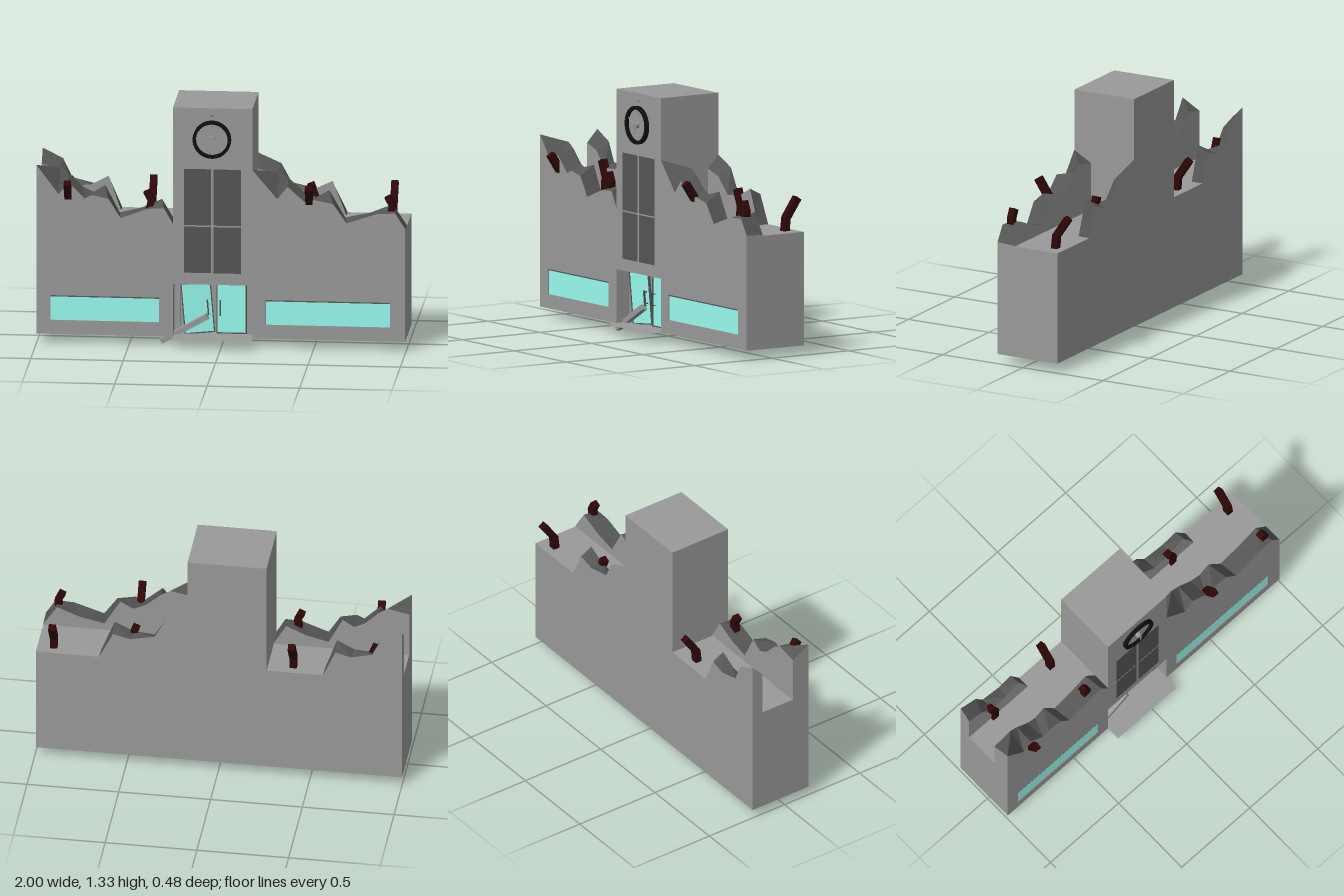
import * as THREE from 'three';

const mat = (color) => new THREE.MeshStandardMaterial({ color, flatShading: true });

export function createModel() {
  const root = new THREE.Group();
  const grey = mat(0x999999), dark = mat(0x555555), black = mat(0x101010);
  const glass = mat(0x98fdf0), rust = mat(0x300707), slate = mat(0x5a5a5a);
  const thin = mat(0x999999), rubble = mat(0x555555);
  thin.side = rubble.side = THREE.DoubleSide;

  const add = (name, geo, material, parent = root) => {
    const m = new THREE.Mesh(geo, material);
    m.name = name;
    parent.add(m);
    return m;
  };
  // Box given by its minimum and maximum on each axis
  const box = (name, x0, x1, y0, y1, z0, z1, material = grey, parent = root) => {
    const m = add(name, new THREE.BoxGeometry(x1 - x0, y1 - y0, z1 - z0), material, parent);
    m.position.set((x0 + x1) / 2, (y0 + y1) / 2, (z0 + z1) / 2);
    return m;
  };
  const poly = (pts) => new THREE.Shape(pts.map((p) => new THREE.Vector2(...p)));
  const rect = (x0, x1, y0, y1) => poly([[x0, y0], [x1, y0], [x1, y1], [x0, y1]]);
  const extrude = (shape, depth) =>
    new THREE.ExtrudeGeometry(shape, { depth, bevelEnabled: false, curveSegments: 24 });

  const L = -1, R = 0.995, BASE = 0.052, ROOF = 0.67, FRONT = 0.16, BACK = -0.212;
  const TL = -0.262, TR = 0.168, RECESS = 0.05, DOOR_TOP = 0.345;

  // Main block, with a front slab cut for the windows and the entrance
  box('mainBlock', L, R, BASE, ROOF, BACK, RECESS);
  const facade = poly([[L, BASE], [TL, BASE], [TL, DOOR_TOP], [TR, DOOR_TOP], [TR, BASE],
    [R, BASE], [R, ROOF], [L, ROOF]]);
  const windows = [[-0.925, -0.337], [0.24, 0.912]];
  const [sill, head] = [0.122, 0.267];
  windows.forEach(([a, b]) => facade.holes.push(rect(a, b, sill, head)));
  add('facade', extrude(facade, FRONT - RECESS), grey).position.z = RECESS;
  windows.forEach(([a, b]) => {
    box('windowGlass', a, b, sill, head, 0.12, 0.154, glass);
    box('windowSill', a, b, sill, sill + 0.007, 0.14, 0.159);
    box('windowHead', a, b, head - 0.007, head, 0.14, 0.159, slate);
  });

  // Tower with a tall dark window and its bars
  box('tower', TL, TR, ROOF, 1.328, BACK, FRONT);
  box('towerWindow', -0.202, 0.107, 0.41, 0.988, FRONT - 0.01, FRONT + 0.001, dark);
  box('towerWindowBar', -0.056, -0.042, 0.41, 0.988, FRONT - 0.01, FRONT + 0.002);
  box('towerWindowCrossBar', -0.215, 0.115, 0.667, 0.675, FRONT - 0.01, FRONT + 0.002);

  // Clock
  const clock = new THREE.Group();
  clock.name = 'clock';
  clock.position.set(-0.05, 1.156, FRONT);
  root.add(clock);
  const rim = new THREE.Shape().absarc(0, 0, 0.104, 0, Math.PI * 2);
  rim.holes.push(new THREE.Path().absarc(0, 0, 0.086, 0, Math.PI * 2, true));
  add('clockRim', extrude(rim, 0.02), black, clock);
  add('clockFace', new THREE.CircleGeometry(0.09, 40), grey, clock).position.z = 0.004;
  const hub = add('clockHub', new THREE.CylinderGeometry(0.017, 0.017, 0.022, 20), grey, clock);
  hub.rotation.x = Math.PI / 2;
  hub.position.z = 0.014;
  [[0.07, 1.0], [0.048, Math.PI]].forEach(([len, angle], i) => {
    const hand = add('clockHand', extrude(poly([[-0.006, 0], [0.006, 0], [0.002, len], [-0.002, len]]), 0.003), grey, clock);
    hand.position.z = 0.025 + i * 0.004;
    hand.rotation.z = angle;
  });
  box('clockMarker', -0.058, -0.042, 1.284, 1.289, FRONT - 0.005, FRONT + 0.001, slate);

  // Entrance: floor plate, jambs and two glazed doors
  const floor = add('entranceFloor', new THREE.PlaneGeometry(TR - TL, 0.19), thin);
  floor.rotation.x = -Math.PI / 2;
  floor.position.set((TL + TR) / 2, BASE + 0.001, 0.145);
  box('doorJamb', TL, -0.228, BASE, DOOR_TOP, RECESS, 0.075);
  box('doorJamb', 0.132, TR, BASE, DOOR_TOP, RECESS, 0.085);

  const makeDoor = (name, x, handleX) => {
    const door = new THREE.Group();
    const w = 0.082, h = 0.143, t = 0.006;
    door.name = name;
    door.position.set(x, 0.198, 0.068);
    const frame = rect(-w, w, -h, h);
    frame.holes.push(rect(-w + t, w - t, -h + t, h - t));
    add('doorFrame', extrude(frame, 0.014), slate, door);
    box('doorGlass', -w + t, w - t, -h + t, h - t, 0.003, 0.01, glass, door);
    box('doorHandle', handleX - 0.004, handleX + 0.004, -0.04, 0.045, 0.024, 0.034, dark, door);
    [-0.03, 0.033].forEach((y) =>
      box('handleMount', handleX - 0.003, handleX + 0.003, y, y + 0.006, 0.01, 0.026, dark, door));
    root.add(door);
    return door;
  };
  makeDoor('rightHandDoor', 0.048, -0.06);
  const broken = makeDoor('brokenDoor', -0.135, 0.055);
  broken.rotation.set(0.03, 0.1, 0.08);
  broken.position.z = 0.078;

  // Fallen plank across the threshold
  const plank = add('fallenPlank', new THREE.BoxGeometry(0.29, 0.029, 0.033), grey);
  plank.position.set(-0.205, 0.0845, 0.105);
  plank.rotation.z = 0.52;

  // Broken wall tops: each station is [x outer, y outer, x inner, y inner], x from 0 to 0.74
  const frontWall = [[0, 0.99, 0, 0.93], [0.12, 0.83, 0.12, 0.955], [0.17, 0.9, 0.165, 0.925],
    [0.26, 0.81, 0.24, 0.85], [0.3, 0.83, 0.3, 0.82], [0.39, 0.81, 0.363, 0.86],
    [0.455, 0.705, 0.44, 0.71], [0.6, 0.76, 0.56, 0.74], [0.69, 0.765, 0.67, 0.79],
    [0.738, 0.68, 0.738, 0.675]];
  const backWall = [[0, 0.99, 0, 0.92], [0.11, 0.935, 0.09, 0.89], [0.16, 0.83, 0.17, 0.8],
    [0.28, 0.8, 0.27, 0.81], [0.363, 0.825, 0.363, 0.86], [0.43, 0.67, 0.43, 0.67]];
  const wallTop = (name, stations, x0, scale, zOut, zIn) => {
    const rings = stations.map(([xo, yo, xi, yi]) => [
      [x0 + xo * scale, ROOF, zOut], [x0 + xo * scale, yo, zOut],
      [x0 + xi * scale, yi, zIn], [x0 + xi * scale, ROOF, zIn]]);
    const sides = [], tops = [];
    const quad = (out, a, b, c, d) => {
      const q = zOut > zIn ? [a, b, c, a, c, d] : [a, c, b, a, d, c];
      q.forEach((p) => out.push(...p));
    };
    for (let i = 0; i + 1 < rings.length; i++)
      for (let k = 0; k < 3; k++)
        quad(k === 1 ? tops : sides, rings[i][k], rings[i + 1][k], rings[i + 1][k + 1], rings[i][k + 1]);
    const end = rings[rings.length - 1];
    quad(sides, ...rings[0]);
    quad(sides, end[3], end[2], end[1], end[0]);
    [[name, sides, thin], [name + 'Rubble', tops, rubble]].forEach(([part, pos, material]) => {
      const geo = new THREE.BufferGeometry();
      geo.setAttribute('position', new THREE.Float32BufferAttribute(pos, 3));
      geo.computeVertexNormals();
      add(part, geo, material);
    });
  };
  [[L, 1], [TR, (R - TR) / 0.738]].forEach(([x0, scale]) => {
    wallTop('brokenFrontWall', frontWall, x0, scale, FRONT, 0.055);
    wallTop('brokenBackWall', backWall, x0, scale, BACK, -0.145);
  });

  // Rusted beams: a bent strip of three points, extruded to a square section
  const beam = (pts, x, z, alongZ) => {
    const w = 0.019, left = [], right = [];
    pts.forEach(([px, py], i) => {
      const a = pts[Math.max(i - 1, 0)], b = pts[Math.min(i + 1, pts.length - 1)];
      const len = Math.hypot(b[0] - a[0], b[1] - a[1]);
      const nx = (b[1] - a[1]) / len * w, ny = -(b[0] - a[0]) / len * w;
      right.push([px + nx, py + ny]);
      left.unshift([px - nx, py - ny]);
    });
    const geo = extrude(poly([...right, ...left]), 0.038).translate(0, 0, -0.019);
    if (alongZ) geo.rotateY(-Math.PI / 2);
    add('rustedBeam', geo, rust).position.set(x, 0, z);
  };
  [0, 1.305].forEach((dx) => {
    beam([[-0.02, 0.73], [0.035, 0.81], [0.098, 0.905]], -0.83 + dx, 0.108, true);
    beam([[0, 0.72], [0.015, 0.8], [-0.01, 0.85]], -0.398 + dx, 0.115, false);
    beam([[0.01, 0.66], [0.015, 0.76], [-0.02, 0.845]], -0.83 + dx, -0.145, false);
    beam([[0.0, 0.66], [-0.008, 0.74], [-0.08, 0.845]], -0.4 + dx, -0.148, true);
  });

  return root;
}
